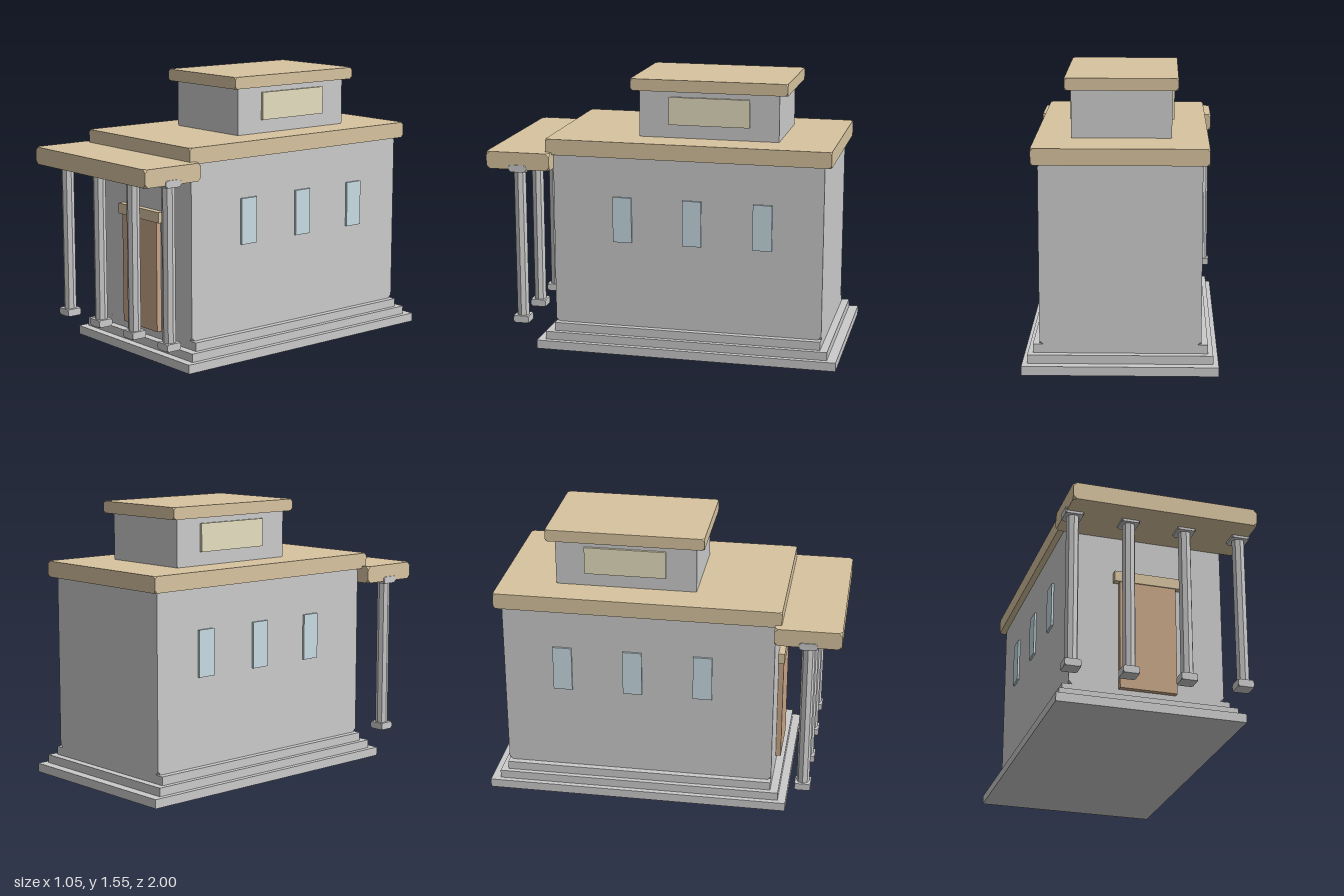
import * as THREE from 'three';
import { ConvexGeometry } from 'three/addons/geometries/ConvexGeometry.js';

const mat = (color) => new THREE.MeshStandardMaterial({ color, flatShading: true });

export function createModel() {
  const group = new THREE.Group();
  const stone = mat(0xcccccc);
  const tan = mat(0xd8c4a0);
  const wood = mat(0xc8a688);
  const glass = mat(0xc8dce4);
  const cream = mat(0xe6dfc0);

  const add = (name, geometry, material, parent = group) => {
    const mesh = new THREE.Mesh(geometry, material);
    mesh.name = name;
    parent.add(mesh);
    return mesh;
  };

  // Box given by its extents; a cut above zero trims the eight corner tips
  const box = (name, material, [x0, x1], [y0, y1], [z0, z1], cut = 0, parent = group) => {
    const w = x1 - x0, h = y1 - y0, d = z1 - z0;
    let geometry;
    if (cut > 0) {
      const points = [];
      for (const sx of [-1, 1]) for (const sy of [-1, 1]) for (const sz of [-1, 1]) {
        for (let axis = 0; axis < 3; axis++) {
          const p = [sx * w / 2, sy * h / 2, sz * d / 2];
          p[axis] -= [sx, sy, sz][axis] * cut;
          points.push(new THREE.Vector3(...p));
        }
      }
      geometry = new ConvexGeometry(points);
    } else {
      geometry = new THREE.BoxGeometry(w, h, d);
    }
    const mesh = add(name, geometry, material, parent);
    mesh.position.set((x0 + x1) / 2, (y0 + y1) / 2, (z0 + z1) / 2);
    return mesh;
  };

  // Stepped base
  box('lowerStep', stone, [-0.527, 0.527], [0, 0.05], [-1, 0.724]);
  box('middleStep', stone, [-0.498, 0.498], [0.05, 0.097], [-0.947, 0.678]);
  box('upperStep', stone, [-0.47, 0.47], [0.097, 0.145], [-0.905, 0.632]);

  // Main hall and its roof slab
  box('hall', stone, [-0.435, 0.435], [0.145, 1.135], [-0.905, 0.632], 0.02);
  box('hallRoof', tan, [-0.47, 0.47], [1.13, 1.22], [-0.945, 0.668], 0.015);

  // Raised upper storey
  box('upperStorey', stone, [-0.273, 0.273], [1.215, 1.49], [-0.625, 0.172], 0.012);
  box('upperRoof', tan, [-0.306, 0.306], [1.485, 1.552], [-0.675, 0.217], 0.015);

  // Doorway
  box('door', wood, [-0.16, 0.16], [0.145, 0.772], [0.6, 0.662]);
  box('doorLintel', tan, [-0.19, 0.19], [0.77, 0.83], [0.6, 0.668]);

  // Side windows and upper panels, mirrored
  for (const side of [-1, 1]) {
    const span = (a, b) => (side > 0 ? [a, b] : [-b, -a]);
    for (const z of [0.232, -0.167, -0.567]) {
      box('sideWindow', glass, span(0.42, 0.447), [0.64, 0.9], [z - 0.054, z + 0.054]);
    }
    box('upperPanel', cream, span(0.26, 0.287), [1.295, 1.452], [-0.46, 0.0]);
  }

  // Portico roof carried by four octagonal columns
  box('porticoRoof', tan, [-0.52, 0.52], [1.047, 1.145], [0.632, 1], 0.02);
  for (const x of [-0.475, -0.16, 0.16, 0.475]) {
    const column = new THREE.Group();
    column.name = 'column';
    column.position.set(x, 0, 0.818);
    group.add(column);
    box('columnBase', stone, [-0.045, 0.045], [0.145, 0.186], [-0.045, 0.045], 0.01, column);
    const shaft = add('columnShaft', new THREE.CylinderGeometry(0.036, 0.036, 0.86, 8), stone, column);
    shaft.position.y = 0.61;
    box('columnCapital', stone, [-0.05, 0.05], [1.033, 1.073], [-0.05, 0.05], 0.012, column);
  }

  return group;
}
